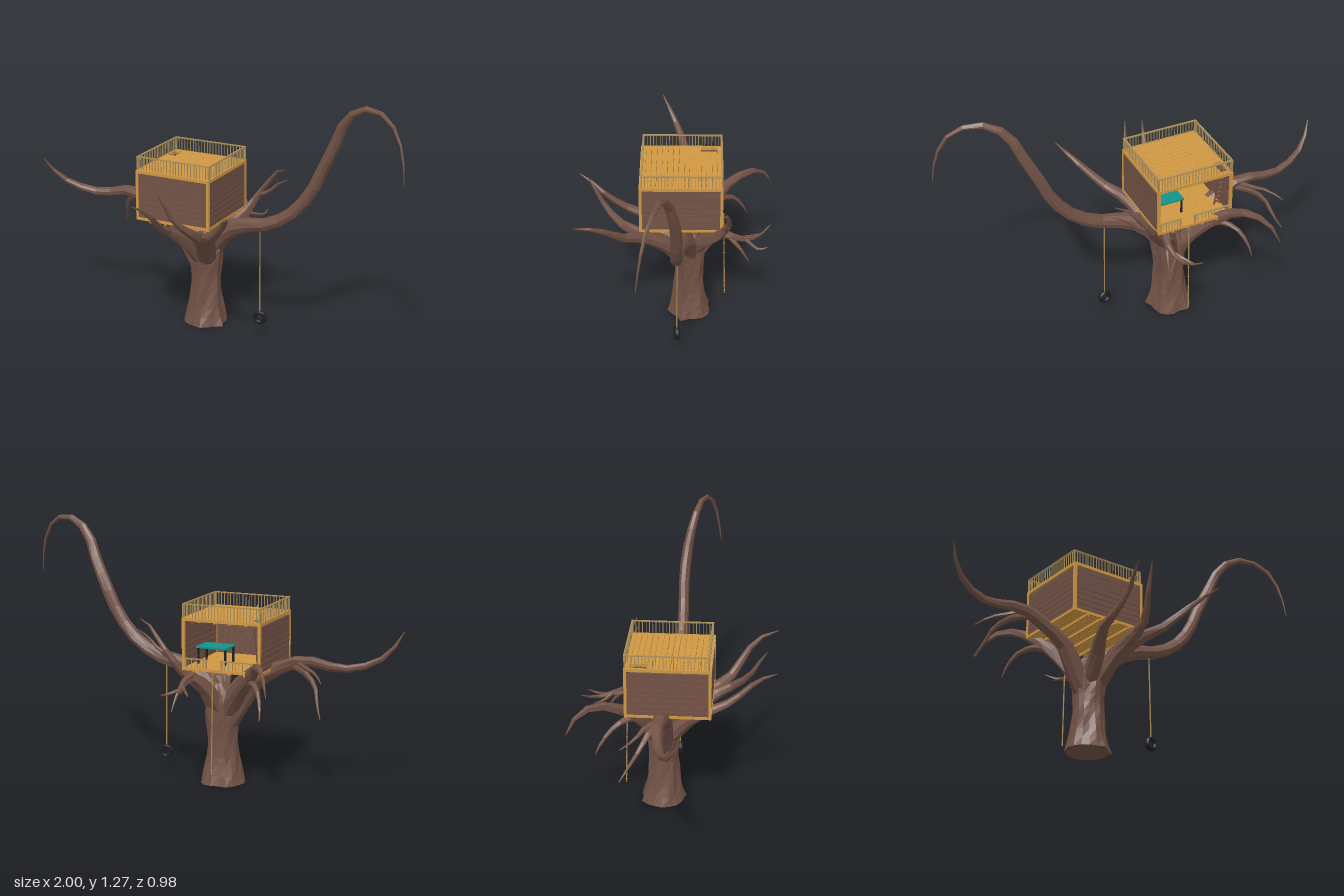
import * as THREE from 'three';

const mat = (name, color, extra = {}) => {
  const m = new THREE.MeshStandardMaterial({ color, ...extra });
  m.name = name;
  return m;
};

export function createModel() {
  const bark = mat('bark', 0x725246, { flatShading: true });
  const wallWood = mat('wallWood', 0x725246);
  const timber = mat('timber', 0xd09743);
  const railWood = mat('railWood', 0xa98d58);
  const rope = mat('rope', 0xa8854e);
  const rubber = mat('rubber', 0x1c1e22);
  const teal = mat('teal', 0x0f948a);

  const model = new THREE.Group();
  model.name = 'treeHouse';
  let seed = 7;
  const rand = () => (seed = (seed * 16807) % 2147483647) / 2147483647;

  const group = (name) => {
    const g = new THREE.Group();
    g.name = name;
    model.add(g);
    return g;
  };
  const add = (parent, name, geometry, material) => {
    const m = new THREE.Mesh(geometry, material);
    m.name = name;
    parent.add(m);
    return m;
  };
  // Box given by its lower and upper corners
  const box = (parent, name, material, x0, x1, y0, y1, z0, z1) =>
    add(parent, name, new THREE.BoxGeometry(x1 - x0, y1 - y0, z1 - z0), material)
      .position.set((x0 + x1) / 2, (y0 + y1) / 2, (z0 + z1) / 2);

  // Tapered, ridged limb through points [x, y, z, radius]
  function limb(parent, name, pts, rings, sides, ridge) {
    const curve = new THREE.CatmullRomCurve3(pts.map((p) => new THREE.Vector3(p[0], p[1], p[2])));
    const radii = new THREE.CatmullRomCurve3(pts.map((p) => new THREE.Vector3(p[3], 0, 0)));
    const geo = new THREE.TubeGeometry(curve, rings, 1, sides);
    const pos = geo.attributes.position;
    const flutes = Array.from({ length: sides }, () => 1 + (rand() - 0.5) * ridge);
    const v = new THREE.Vector3();
    for (let i = 0; i <= rings; i++) {
      const c = curve.getPointAt(i / rings);
      const r = Math.max(0.001, radii.getPoint(curve.getUtoTmapping(i / rings)).x);
      for (let j = 0; j <= sides; j++) {
        const k = i * (sides + 1) + j;
        const bump = flutes[j % sides] + Math.sin(i * 1.3 + (j % sides) * 2.3) * ridge * 0.18;
        v.fromBufferAttribute(pos, k).sub(c).multiplyScalar(r * bump).add(c);
        pos.setXYZ(k, v.x, Math.max(0, v.y), v.z);
      }
    }
    return add(parent, name, geo, bark);
  }

  // Trunk and its underside
  const tree = group('tree');
  limb(tree, 'trunk', [
    [-0.13, 0.006, -0.07, 0.11], [-0.13, 0.05, -0.07, 0.098], [-0.13, 0.13, -0.068, 0.081],
    [-0.128, 0.25, -0.07, 0.073], [-0.125, 0.36, -0.07, 0.081], [-0.12, 0.43, -0.07, 0.08],
    [-0.11, 0.51, -0.08, 0.03],
  ], 11, 18, 0.22);
  const base = add(tree, 'trunkBase', new THREE.CircleGeometry(0.107, 18), bark);
  base.rotation.x = Math.PI / 2;
  base.position.set(-0.13, 0.006, -0.07);

  // Limbs: name, then points with radii
  const limbs = {
    longRightLimb: [[-0.13, 0.36, -0.07, 0.055], [-0.06, 0.47, -0.06, 0.052], [0.02, 0.54, -0.04, 0.045],
      [0.11, 0.575, -0.025, 0.036], [0.23, 0.6, -0.012, 0.031], [0.36, 0.67, -0.01, 0.029],
      [0.46, 0.785, -0.01, 0.028], [0.53, 0.93, -0.012, 0.027], [0.595, 1.06, 0, 0.025],
      [0.65, 1.18, 0.025, 0.022], [0.73, 1.252, 0.05, 0.016], [0.82, 1.267, 0.075, 0.011],
      [0.91, 1.225, 0.11, 0.009], [0.975, 1.11, 0.14, 0.006], [0.998, 0.96, 0.16, 0.002]],
    longLeftLimb: [[-0.15, 0.3, -0.07, 0.05], [-0.22, 0.42, -0.065, 0.048], [-0.29, 0.53, -0.055, 0.044],
      [-0.39, 0.59, -0.052, 0.037], [-0.5, 0.64, -0.055, 0.031], [-0.6, 0.648, -0.06, 0.026],
      [-0.72, 0.622, -0.045, 0.021], [-0.85, 0.645, -0.015, 0.017], [-0.94, 0.7, 0.025, 0.012],
      [-0.998, 0.8, 0.08, 0.002]],
    leftTwig: [[-0.48, 0.62, -0.05, 0.018], [-0.56, 0.605, -0.1, 0.015], [-0.63, 0.55, -0.14, 0.011],
      [-0.66, 0.47, -0.19, 0.007], [-0.69, 0.41, -0.23, 0.002]],
    leftSmallTwig: [[-0.5, 0.64, -0.05, 0.013], [-0.57, 0.63, -0.12, 0.011], [-0.64, 0.61, -0.16, 0.007],
      [-0.69, 0.58, -0.225, 0.002]],
    frontRightLimb: [[-0.11, 0.36, -0.04, 0.05], [-0.06, 0.47, 0.06, 0.044], [0, 0.55, 0.17, 0.034],
      [0.07, 0.59, 0.25, 0.025], [0.14, 0.66, 0.31, 0.019], [0.21, 0.735, 0.38, 0.013], [0.25, 0.77, 0.485, 0.002]],
    frontMiddleLimb: [[-0.1, 0.38, -0.02, 0.045], [-0.07, 0.49, 0.09, 0.036], [-0.04, 0.56, 0.2, 0.026],
      [-0.045, 0.61, 0.28, 0.019], [-0.085, 0.68, 0.35, 0.013], [-0.1, 0.75, 0.39, 0.009], [-0.12, 0.825, 0.435, 0.002]],
    frontLeftLimb: [[-0.14, 0.36, -0.04, 0.048], [-0.17, 0.47, 0.06, 0.037], [-0.215, 0.555, 0.18, 0.025],
      [-0.21, 0.6, 0.27, 0.018], [-0.2, 0.68, 0.36, 0.014], [-0.22, 0.74, 0.43, 0.008], [-0.24, 0.77, 0.485, 0.002]],
    backLeftLimb: [[-0.14, 0.34, -0.08, 0.05], [-0.22, 0.46, -0.13, 0.042], [-0.3, 0.555, -0.19, 0.034],
      [-0.37, 0.62, -0.26, 0.025], [-0.42, 0.66, -0.35, 0.018], [-0.48, 0.645, -0.44, 0.011], [-0.52, 0.555, -0.495, 0.002]],
    backLeftTwig: [[-0.27, 0.52, -0.16, 0.022], [-0.34, 0.555, -0.22, 0.016], [-0.4, 0.53, -0.29, 0.011],
      [-0.43, 0.47, -0.34, 0.007], [-0.44, 0.41, -0.37, 0.002]],
    backRightLimb: [[-0.12, 0.38, -0.08, 0.045], [-0.05, 0.49, -0.14, 0.037], [0.02, 0.57, -0.21, 0.026],
      [0.07, 0.66, -0.26, 0.017], [0.13, 0.74, -0.262, 0.012], [0.18, 0.8, -0.25, 0.007], [0.24, 0.825, -0.23, 0.002]],
    backRightTwig: [[0.07, 0.66, -0.26, 0.013], [0.13, 0.685, -0.25, 0.009], [0.19, 0.74, -0.245, 0.006], [0.25, 0.77, -0.23, 0.002]],
    backLimb: [[-0.12, 0.38, -0.1, 0.045], [-0.08, 0.5, -0.17, 0.035], [-0.03, 0.56, -0.23, 0.023],
      [-0.02, 0.54, -0.29, 0.016], [-0.03, 0.52, -0.36, 0.011], [-0.06, 0.52, -0.42, 0.007], [-0.11, 0.555, -0.48, 0.002]],
    backTwigRight: [[-0.03, 0.52, -0.35, 0.01], [0.01, 0.505, -0.39, 0.008], [0.03, 0.5, -0.42, 0.006], [0.03, 0.515, -0.46, 0.002]],
    backTwigLeft: [[-0.03, 0.53, -0.33, 0.01], [-0.07, 0.51, -0.37, 0.007], [-0.1, 0.505, -0.42, 0.002]],
    backTwigDown: [[-0.02, 0.54, -0.27, 0.012], [0, 0.49, -0.32, 0.008], [0.01, 0.41, -0.37, 0.002]],
  };
  for (const [name, pts] of Object.entries(limbs))
    limb(tree, name, pts, Math.round(pts.length * 1.3), 9, 0.3);

  // House extents
  const [X0, X1, Y0, Y1, Z0, Z1] = [-0.39, 0.015, 0.59, 0.845, -0.235, 0.18];
  const t = 0.014;
  const frame = group('frame');
  for (const x of [X0, X1 - t]) {
    for (const z of [Z0, Z1 - t]) box(frame, 'cornerPost', timber, x, x + t, Y0, Y1, z, z + t);
    for (const y of [Y0, Y1 - t]) box(frame, 'sideBeam', timber, x, x + t, y, y + t, Z0 + t, Z1 - t);
  }
  for (const z of [Z0, Z1 - t])
    for (const y of [Y0, Y1 - t]) box(frame, 'crossBeam', timber, X0 + t, X1 - t, y, y + t, z, z + t);

  // Plank walls on three sides, back left open
  const walls = group('walls');
  const rows = 8;
  const step = (Y1 - Y0 - 2 * t) / rows;
  for (let i = 0; i < rows; i++) {
    const y = Y0 + t + i * step;
    const top = y + step - (i < 4 ? 0.0022 : 0.0012);
    box(walls, 'frontPlank', wallWood, X0 + t, X1 - t, y, top, Z1 - 0.011, Z1 - 0.003);
    box(walls, 'leftPlank', wallWood, X1 - 0.011, X1 - 0.003, y, top, Z0 + t, Z1 - t);
    // Right planks sit slightly lower, so the gaps do not line up across the house
    box(walls, 'rightPlank', wallWood, X0 + 0.003, X0 + 0.011, y - 0.006, top - 0.006, Z0 + t, Z1 - t);
  }

  // Floor and roof boards, with a hatch in the roof
  const decks = group('decks');
  const boards = 15;
  const w = (Z1 - Z0) / boards;
  for (let i = 0; i < boards; i++) {
    const z = Z0 + i * w;
    const hatch = i >= 1 && i <= 3;
    const split = [-0.18, -0.05, -0.27][i % 3];
    for (const [a, b] of [[X0, split - 0.001], [split + 0.001, X1]]) {
      const gap = 0.0008 + rand() * 0.0018;
      box(decks, 'floorBoard', timber, a, b, Y0 + 0.004, Y0 + 0.014, z, z + w - 0.0015);
      box(decks, 'roofBoard', timber, a === X0 && hatch ? -0.335 : a, b, Y1 - 0.008, Y1 + 0.002, z, z + w - gap);
    }
    if (hatch) box(decks, 'hatchEdge', timber, X0, X0 + 0.012, Y1 - 0.008, Y1 + 0.002, z, z + w);
  }
  for (let i = 1; i < 5; i++) {
    const x = X0 + (i * (X1 - X0)) / 5;
    box(decks, 'floorJoist', timber, x - 0.005, x + 0.005, Y0 - 0.008, Y0 + 0.004, Z0, Z1);
    box(decks, 'roofJoist', timber, x - 0.005, x + 0.005, Y1 - 0.022, Y1 - 0.008, Z0 + t, Z1 - t);
  }

  // Ladder leaning up to the hatch
  const ladder = group('hatchLadder');
  for (const x of [-0.374, -0.343]) box(ladder, 'ladderRail', wallWood, x, x + 0.005, 0, 0.235, -0.003, 0.003);
  for (let i = 0; i < 7; i++) box(ladder, 'ladderRung', wallWood, -0.372, -0.34, 0.02 + i * 0.032, 0.026 + i * 0.032, -0.005, 0.005);
  ladder.position.set(0, Y0 + t, -0.14);
  ladder.rotation.x = -0.22;

  // Railing with balusters between two points
  function railing(parent, xa, za, xb, zb, y0, y1, count) {
    const h = 0.005;
    box(parent, 'handrail', railWood, Math.min(xa, xb) - h, Math.max(xa, xb) + h, y1 - 0.005, y1,
      Math.min(za, zb) - h, Math.max(za, zb) + h);
    for (let i = 0; i <= count; i++) {
      const s = i === 0 || i === count ? 0.004 : 0.0017;
      const k = (i + (s < 0.003 ? (rand() - 0.5) * 0.2 : 0)) / count;
      const x = xa + (xb - xa) * k;
      const z = za + (zb - za) * k;
      box(parent, 'baluster', railWood, x - s, x + s, y0, y1 - 0.005, z - s, z + s);
    }
  }
  const roofRail = group('roofRailing');
  const [a, b, c, d] = [X0 + 0.006, X1 - 0.006, Z0 + 0.006, Z1 - 0.014];
  for (const z of [c, d]) railing(roofRail, a, z, b, z, Y1, 0.915, 24);
  for (const x of [a, b]) railing(roofRail, x, c, x, d, Y1, 0.915, 24);
  const porchRail = group('porchRailing');
  railing(porchRail, a + 0.012, c, -0.19, c, Y0 + t, 0.65, 10);
  railing(porchRail, -0.11, c, b - 0.012, c, Y0 + t, 0.65, 7);

  // Table inside the house
  const table = group('table');
  box(table, 'tableTop', teal, -0.175, -0.015, 0.682, 0.69, -0.135, -0.015);
  for (const x of [-0.17, -0.028])
    for (const z of [-0.13, -0.028]) box(table, 'tableLeg', rubber, x, x + 0.008, Y0 + t, 0.682, z, z + 0.008);

  // Straight piece of rope between two points
  const cord = (parent, p, q, r) => {
    const path = new THREE.LineCurve3(new THREE.Vector3(...p), new THREE.Vector3(...q));
    add(parent, 'rope', new THREE.TubeGeometry(path, 1, r, 6), rope);
  };

  // Tyre swing
  const swing = group('tyreSwing');
  cord(swing, [0.2, 0.59, -0.012], [0.205, 0.14, -0.008], 0.0035);
  const tyre = add(swing, 'tyre', new THREE.TorusGeometry(0.026, 0.01, 8, 18), rubber);
  tyre.position.set(0.205, 0.106, -0.008);
  tyre.scale.z = 1.3;
  tyre.rotation.y = 0.15;

  // Knotted climbing rope at the back
  const climb = group('climbingRope');
  cord(climb, [-0.15, 0.6, -0.242], [-0.15, 0.09, -0.255], 0.0035);
  for (let i = 0; i < 8; i++) {
    const knot = add(climb, 'knot', new THREE.SphereGeometry(0.005, 6, 4), rope);
    knot.position.set(-0.15, 0.11 + i * 0.06, -0.2545 + i * 0.00153);
  }
  return model;
}
